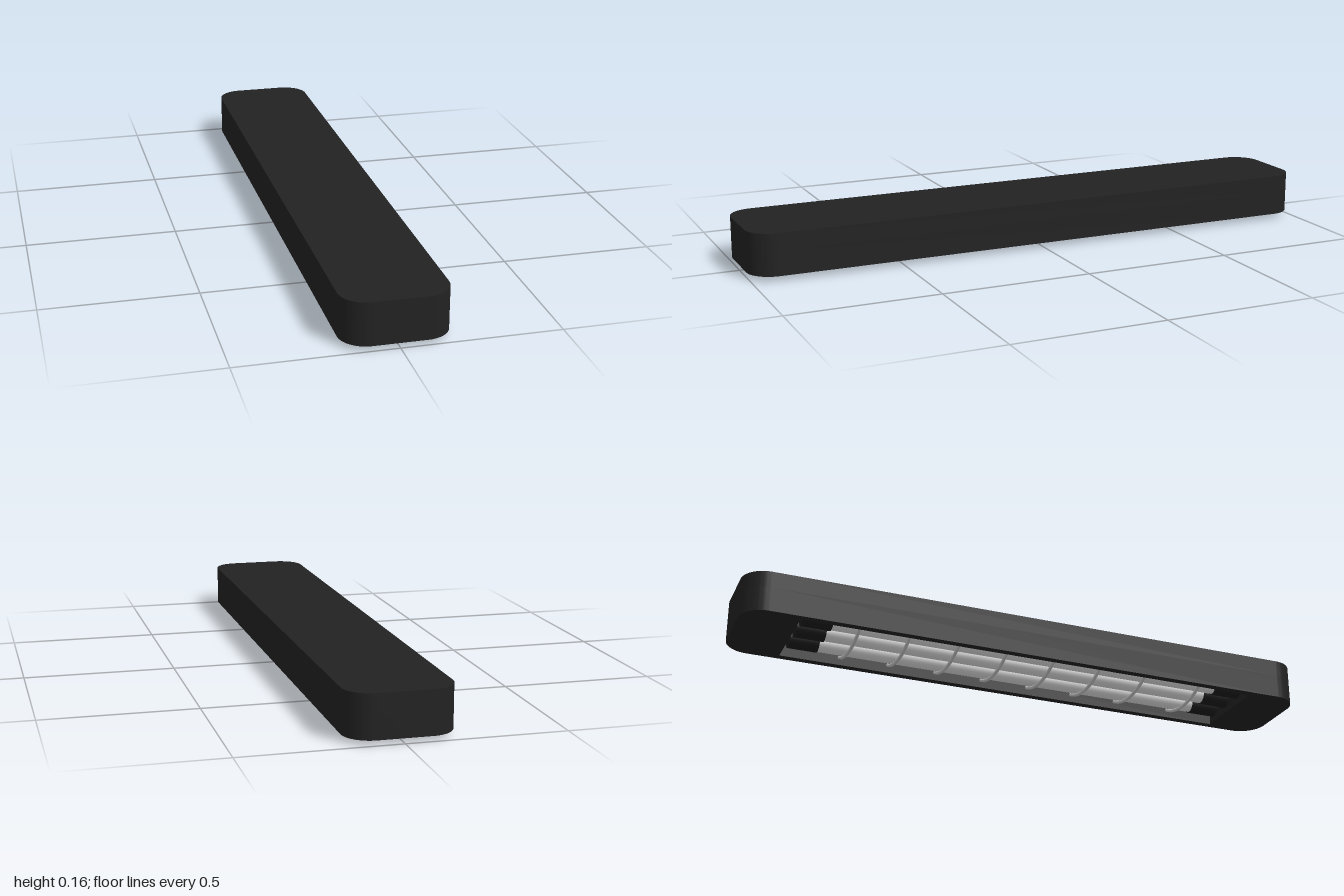
import * as THREE from 'three';
import { toCreasedNormals } from 'three/addons/utils/BufferGeometryUtils.js';

const mat = (name, color) => {
  const m = new THREE.MeshStandardMaterial({ color });
  m.name = name;
  return m;
};

function roundedOutline(w, l, r) {
  const s = new THREE.Shape();
  s.absarc(w - r, l - r, r, 0, Math.PI / 2);
  s.absarc(-w + r, l - r, r, Math.PI / 2, Math.PI);
  s.absarc(-w + r, -l + r, r, Math.PI, Math.PI * 1.5);
  s.absarc(w - r, -l + r, r, Math.PI * 1.5, Math.PI * 2);
  s.closePath();
  return s;
}

// Upright slab cut from a plan outline, between two heights
function slab(shape, y0, y1) {
  const g = new THREE.ExtrudeGeometry(shape, { depth: y1 - y0, bevelEnabled: false, curveSegments: 10 });
  g.rotateX(-Math.PI / 2).translate(0, y0, 0);
  return toCreasedNormals(g, 0.6);
}

export function createModel() {
  const group = new THREE.Group();
  const black = mat('housing black', 0x222222);
  const capBlack = mat('socket black', 0x1c1c1c);
  const white = mat('tube white', 0xeeeeee);
  const metal = mat('wire grey', 0xc8c8c8);

  const add = (name, geometry, material, x = 0, y = 0, z = 0, parent = group) => {
    const mesh = new THREE.Mesh(geometry, material);
    mesh.name = name;
    mesh.position.set(x, y, z);
    parent.add(mesh);
    return mesh;
  };

  // Housing: solid lid over a rim with a rectangular opening below
  const bottom = 0.017, ceiling = 0.1, top = 0.156;
  const rim = roundedOutline(0.169, 1, 0.085);
  const hx = 0.144, hz = 0.81;
  rim.holes.push(new THREE.Path([
    new THREE.Vector2(-hx, -hz), new THREE.Vector2(-hx, hz),
    new THREE.Vector2(hx, hz), new THREE.Vector2(hx, -hz),
  ]));
  add('housingRim', slab(rim, bottom, ceiling), black);
  add('housingLid', slab(roundedOutline(0.169, 1, 0.085), ceiling, top), black);

  // Three long tubes with dark sockets at both ends
  const tubeGeo = new THREE.CylinderGeometry(0.028, 0.028, 1.42, 24).rotateX(Math.PI / 2);
  const socketGeo = new THREE.CylinderGeometry(0.031, 0.031, 0.1, 24).rotateX(Math.PI / 2);
  for (const x of [-0.088, 0, 0.088]) {
    add('tube', tubeGeo, white, x, 0.056, 0);
    for (const side of [-1, 1]) add('tubeSocket', socketGeo, capBlack, x, 0.056, side * 0.745);
  }

  // Curved guard wires across the opening
  const R = 0.277, wire = 0.0058;
  const points = [];
  for (let i = 0; i <= 8; i++) {
    const a = (i / 8 - 0.5) * 0.98;
    points.push(new THREE.Vector3(R * Math.sin(a), wire + R * (1 - Math.cos(a)), 0));
  }
  const wireGeo = new THREE.TubeGeometry(new THREE.CatmullRomCurve3(points), 24, wire, 10);
  const tipGeo = new THREE.SphereGeometry(wire, 10, 8);
  for (const z of [0.625, 0.414, 0.243, 0.073, -0.098, -0.268, -0.438, -0.608]) {
    const guard = new THREE.Group();
    guard.name = 'guardWire';
    guard.position.z = z;
    group.add(guard);
    add('wireArc', wireGeo, metal, 0, 0, 0, guard);
    for (const p of [points[0], points[8]]) add('wireTip', tipGeo, metal, p.x, p.y, 0, guard);
  }

  return group;
}
